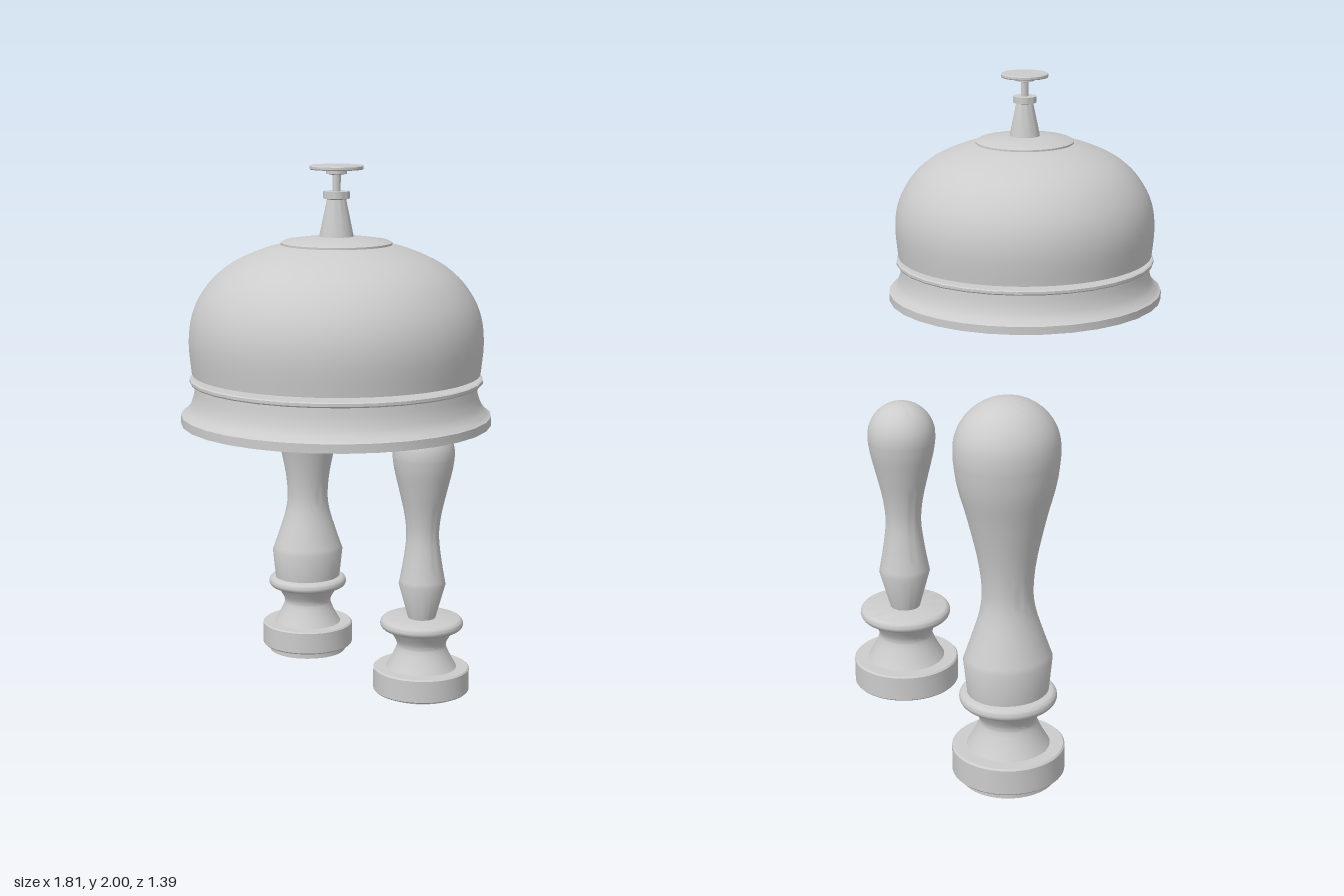
import * as THREE from 'three';
import { toCreasedNormals } from 'three/addons/utils/BufferGeometryUtils.js';

const vec = ([r, y]) => new THREE.Vector2(r, y);

// smooth profile through a few [radius, height] points
const smooth = (pts, n = 24) => new THREE.SplineCurve(pts.map(vec)).getPoints(n).map(p => [Math.max(p.x, 0), p.y]);

function turned(name, profile, segments = 48, open = false) {
  const geometry = toCreasedNormals(new THREE.LatheGeometry(profile.map(vec), segments), 0.5);
  const material = new THREE.MeshStandardMaterial({ color: 0xcccccc });
  if (open) material.side = THREE.DoubleSide;
  const mesh = new THREE.Mesh(geometry, material);
  mesh.name = name;
  return mesh;
}

// quarter-ellipse cap ending on the axis
function roundTop(r, y, h, n = 12) {
  const pts = [];
  for (let i = 1; i <= n; i++) {
    const a = (i / n) * Math.PI / 2;
    pts.push([i === n ? 0 : r * Math.cos(a), y + h * Math.sin(a)]);
  }
  return pts;
}

function createStamp(name, x, padBottom, handleProfile, depth) {
  const stamp = new THREE.Group();
  stamp.name = name;
  stamp.position.set(x, 0, -0.525);

  // printing pad under the foot
  stamp.add(turned('stampPad', [[0, padBottom], [0.15, padBottom], [0.15, 0.03]]));

  // foot, waist and rounded collar
  const collar = [];
  for (let i = 0; i <= 10; i++) {
    const a = -Math.PI / 2 + (i / 10) * Math.PI;
    collar.push([0.132 + 0.021 * Math.cos(a), 0.281 + 0.021 * Math.sin(a)]);
  }
  stamp.add(turned('stampBase', [
    [0, 0.025], [0.172, 0.025], [0.177, 0.03], [0.177, 0.11], [0.172, 0.115], [0.13, 0.115],
    ...smooth([[0.13, 0.115], [0.11, 0.15], [0.092, 0.19], [0.092, 0.21], [0.105, 0.235], [0.122, 0.26]], 12),
    ...collar, [0, 0.302],
  ]));

  // turned grip
  const handle = turned('stampHandle', handleProfile);
  handle.scale.z = depth;
  stamp.add(handle);
  return stamp;
}

function createBell() {
  const bell = new THREE.Group();
  bell.name = 'deskBell';
  bell.position.set(0.41, 0, 0.2);

  // hollow flared base with a top plate
  const flare = smooth([[0.485, 1.222], [0.465, 1.245], [0.452, 1.28], [0.446, 1.318]], 10);
  bell.add(turned('bellBase', [
    [0, 1.318], [0.438, 1.318],
    ...flare.slice().reverse().map(([r, y]) => [r - 0.008, y - 0.003]),
    [0.482, 1.19], [0.493, 1.19], [0.493, 1.218], ...flare,
    [0.462, 1.32], [0.465, 1.324], [0.465, 1.333], [0.46, 1.336], [0, 1.336],
  ], 32));

  // dome shell
  bell.add(turned('bellDome', smooth([
    [0.457, 1.35], [0.466, 1.45], [0.456, 1.53], [0.425, 1.6], [0.37, 1.665],
    [0.29, 1.715], [0.17, 1.756], [0.05, 1.765], [0, 1.766],
  ], 32), 48, true));

  // raised plate on the crown
  bell.add(turned('crownPlate', [[0.175, 1.75], [0.175, 1.761], [0.165, 1.766], [0.08, 1.778], [0.05, 1.78], [0, 1.78]]));

  // tapered stem and its collar
  bell.add(turned('plungerStem', [
    [0.055, 1.77], [0.052, 1.79], [0.03, 1.895], [0.042, 1.898], [0.042, 1.92], [0, 1.92],
  ], 32));

  // plunger rod and push button
  bell.add(turned('plungerRod', [[0.013, 1.91], [0.013, 1.97], [0.033, 1.974], [0.033, 1.99]], 24));
  bell.add(turned('pushButton', [[0, 1.987], [0.082, 1.987], [0.084, 1.99], [0.084, 1.997], [0.081, 2], [0, 2]], 32));
  return bell;
}

export function createModel() {
  const model = new THREE.Group();
  model.name = 'deskBellAndStamps';

  const largeHandle = [
    [0, 0.3], [0.12, 0.3],
    ...smooth([[0.12, 0.3], [0.131, 0.41]], 1),
    ...smooth([[0.131, 0.41], [0.105, 0.49], [0.082, 0.57], [0.075, 0.64], [0.085, 0.74], [0.115, 0.88], [0.143, 0.99], [0.154, 1.08]]).slice(1),
    ...roundTop(0.154, 1.1, 0.16),
  ];
  const smallHandle = [
    [0, 0.3], [0.05, 0.3], [0.086, 0.43],
    ...smooth([[0.086, 0.43], [0.07, 0.52], [0.06, 0.61], [0.067, 0.69], [0.087, 0.78], [0.106, 0.86], [0.113, 0.91]]).slice(1),
    ...roundTop(0.113, 0.92, 0.115),
  ];
  model.add(createStamp('largeStamp', -0.73, 0, largeHandle, 1.08));
  model.add(createStamp('smallStamp', -0.02, 0.015, smallHandle, 1));
  model.add(createBell());
  return model;
}
